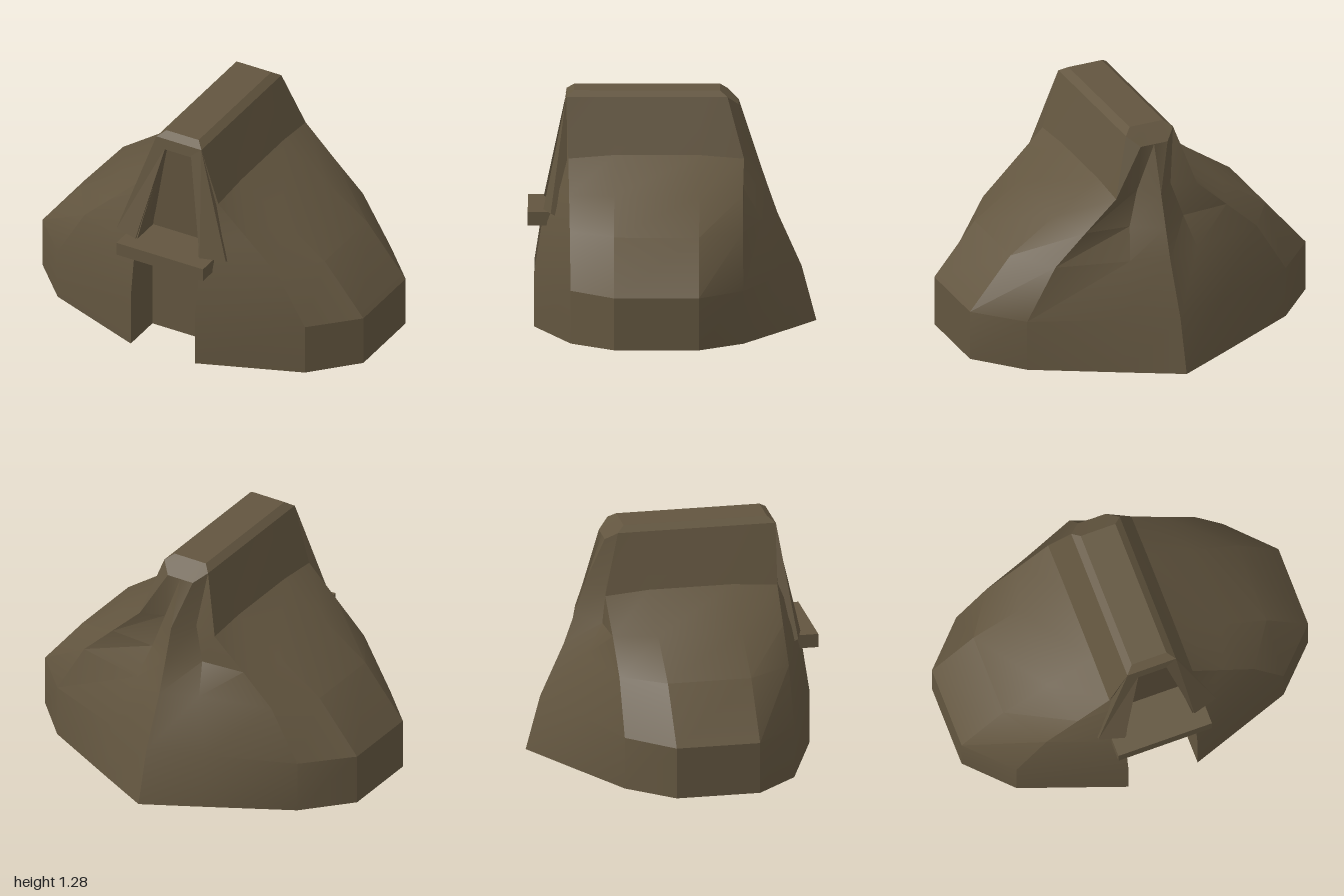
import * as THREE from 'three';
import { toCreasedNormals } from 'three/addons/utils/BufferGeometryUtils.js';

const brown = new THREE.MeshStandardMaterial({ color: 0x62553f });
brown.name = 'drab brown';

// Surface through rows of [x, y, z] points; every row has the same length
function loft(rows, crease) {
  const pos = [];
  for (let r = 0; r < rows.length - 1; r++) {
    for (let c = 0; c < rows[r].length - 1; c++) {
      const a = rows[r][c], b = rows[r][c + 1], d = rows[r + 1][c], e = rows[r + 1][c + 1];
      pos.push(...a, ...b, ...e, ...a, ...e, ...d);
    }
  }
  const g = new THREE.BufferGeometry();
  g.setAttribute('position', new THREE.Float32BufferAttribute(pos, 3));
  return toCreasedNormals(g, crease);
}

const mirror = ([x, y, z]) => [-x, y, z];
// Completes a half row that ends on the centre line
const whole = (half) => [...half, ...half.slice(0, -1).reverse().map(mirror)];

function createModel() {
  const model = new THREE.Group();
  const add = (name, geometry, material = brown) => {
    const mesh = new THREE.Mesh(geometry, material);
    mesh.name = name;
    model.add(mesh);
    return mesh;
  };

  // Half rows: doorway inside, doorway edge, front corner, two side corners, back corner, valley, back spine
  const base = [[0.2, 0, 0.51], [0.2, 0, 0.745], [0.77, 0.01, 0.545], [1, 0.015, 0.31],
    [1, 0.015, -0.15], [0.77, 0.01, -0.39], [0.3, 0.004, -0.63], [0, 0, -0.78]];
  const eave = [[0.2, 0.3, 0.51], [0.2, 0.3, 0.745], [0.77, 0.3, 0.545], [1, 0.3, 0.31],
    [1, 0.3, -0.15], [0.77, 0.3, -0.39], [0.3, 0.3, -0.58], [0, 0.3, -0.7]];
  const shoulder = [[0.2, 0.59, 0.51], [0.2, 0.59, 0.7], [0.6, 0.59, 0.55], [0.76, 0.59, 0.31],
    [0.76, 0.59, -0.15], [0.6, 0.59, -0.385], [0.2, 0.59, -0.485], [0, 0.59, -0.57]];
  const slope = [[0.17, 0.77, 0.52], [0.17, 0.77, 0.66], [0.42, 0.76, 0.555], [0.5, 0.77, 0.31],
    [0.5, 0.77, -0.15], [0.42, 0.76, -0.385], [0.16, 0.75, -0.39], [0, 0.76, -0.51]];
  const neck = [[0.135, 0.94, 0.53], [0.135, 0.94, 0.62], [0.24, 0.93, 0.56], [0.24, 0.95, 0.31],
    [0.24, 0.95, -0.15], [0.24, 0.93, -0.39], [0.1, 0.94, -0.355], [0, 0.94, -0.45]];
  const crown = [[0.09, 1.25, 0.55], [0.09, 1.25, 0.57], [0.14, 1.25, 0.57], [0.14, 1.25, 0.31],
    [0.14, 1.25, -0.15], [0.14, 1.25, -0.3], [0.08, 1.2, -0.36], [0, 1.2, -0.36]];
  const ridge = [[0.09, 1.28, 0.53], [0.1, 1.28, 0.53], [0.1, 1.28, 0.53], [0.1, 1.28, 0.31],
    [0.1, 1.28, -0.15], [0.1, 1.28, -0.26], [0.05, 1.28, -0.26], [0, 1.28, -0.26]];

  // Inner lining, a little inside the outer skin
  const inset = (row) => row.map(([x, y, z], i) =>
    (i < 2 ? [x + 0.03, y, i ? z - 0.035 : z] : [x * 0.965, y, z * 0.96]));
  const shell = [inset(slope), inset(shoulder), inset(eave), inset(base),
    base, eave, shoulder, slope, neck, crown, ridge].map(whole);
  add('body', loft(shell, 0.45));

  // Flat ridge top and the lintel closing the front below it
  add('ridgeCap', loft([
    [[-0.08, 1.19, 0.58], [0.08, 1.19, 0.58]],
    [[-0.14, 1.25, 0.571], [0.14, 1.25, 0.571]],
    [[-0.1, 1.28, 0.53], [0.1, 1.28, 0.53]],
    [[-0.1, 1.28, -0.26], [0.1, 1.28, -0.26]],
  ], 0.1));

  // Solid core standing inside the shell, visible through the doorway
  const core = add('core', new THREE.BoxGeometry(0.76, 0.66, 0.87));
  core.position.set(0, 0.33, 0.075);

  // Recessed panel above the ledge
  add('recessPanel', loft([
    [[-0.21, 0.6, 0.515], [0.21, 0.6, 0.515]],
    [[-0.1, 1.22, 0.552], [0.1, 1.22, 0.552]],
  ], 0.1));

  // Ledge over the doorway
  const ledge = add('ledge', new THREE.BoxGeometry(0.54, 0.075, 0.28));
  ledge.position.set(0, 0.605, 0.64);

  // Flared wings either side of the recess
  const low = [[0.2, 0.645, 0.695], [0.34, 0.645, 0.655], [0.325, 0.59, 0.545], [0.2, 0.6, 0.53]];
  const high = [[0.08, 1.2, 0.58], [0.14, 1.25, 0.572], [0.13, 1.2, 0.5], [0.08, 1.2, 0.5]];
  const middle = [0.2, 0.63, 0.6];
  for (const side of [1, -1]) {
    const ring = (pts) => {
      const closed = [...pts, pts[0]];
      return side > 0 ? closed : closed.map(mirror).reverse();
    };
    const foot = low.map(() => middle);
    add(side > 0 ? 'leftWing' : 'rightWing', loft([ring(foot), ring(low), ring(high)], 0.1));
  }

  return model;
}

export { createModel };
